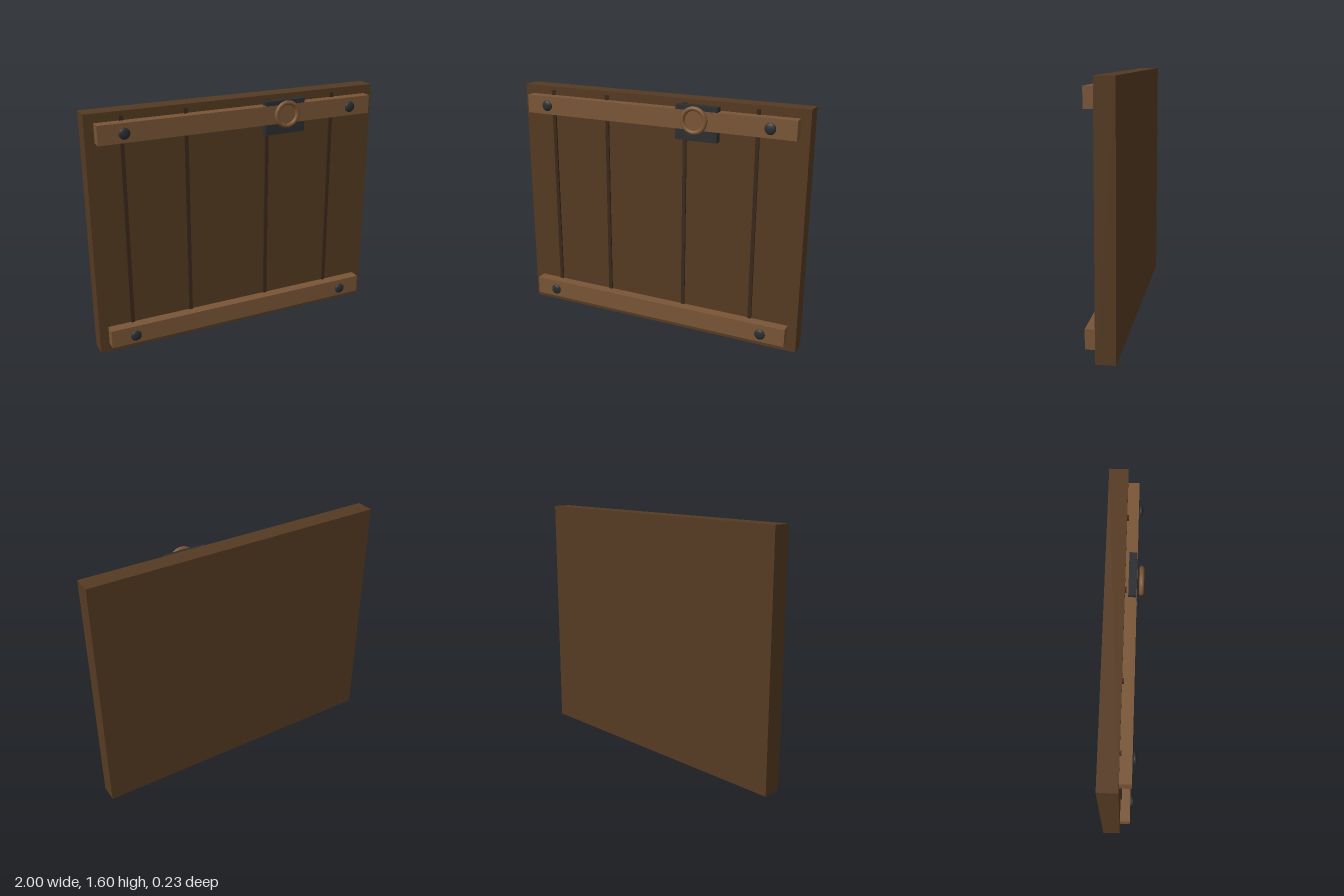
import * as THREE from 'three';

export function createModel() {
  const group = new THREE.Group();
  const mat = (name, color) => {
    const m = new THREE.MeshStandardMaterial({ color });
    m.name = name;
    return m;
  };
  const darkWood = mat('dark wood', 0x553a22);
  const lightWood = mat('light wood', 0x785536);
  const seamBrown = mat('seam brown', 0x3a281a);
  const iron = mat('iron', 0x2b2d30);
  const bronze = mat('bronze', 0x7c5532);

  const add = (name, geometry, material, x, y, z) => {
    const mesh = new THREE.Mesh(geometry, material);
    mesh.name = name;
    mesh.position.set(x, y, z);
    group.add(mesh);
    return mesh;
  };
  const box = (name, material, w, h, z0, z1, x, y) =>
    add(name, new THREE.BoxGeometry(w, h, z1 - z0), material, x, y, (z0 + z1) / 2);

  // Main slab
  box('panel', darkWood, 2, 1.6, -0.116, 0.004, 0, 0.8);

  // Seams between the planks
  for (const x of [-0.775, -0.363, 0.199, 0.68]) {
    box('plankSeam', seamBrown, 0.024, 1.55, -0.005, 0.014, x, 0.8);
  }

  // Cross battens, each with two flattened bolt heads
  for (const y of [0.122, 1.482]) {
    box('batten', lightWood, 1.88, 0.122, 0, 0.074, 0, y);
    for (const x of [-0.78, 0.78]) {
      add('bolt', new THREE.SphereGeometry(0.036, 20, 14), iron, x, y, 0.087).scale.z = 0.4;
    }
  }

  // Iron plate behind the pull ring
  box('ringPlate', iron, 0.28, 0.22, 0.024, 0.0725, 0.3, 1.462);

  // Pull ring
  add('pullRing', new THREE.TorusGeometry(0.075, 0.0145, 12, 40), bronze, 0.297, 1.487, 0.101);

  return group;
}
